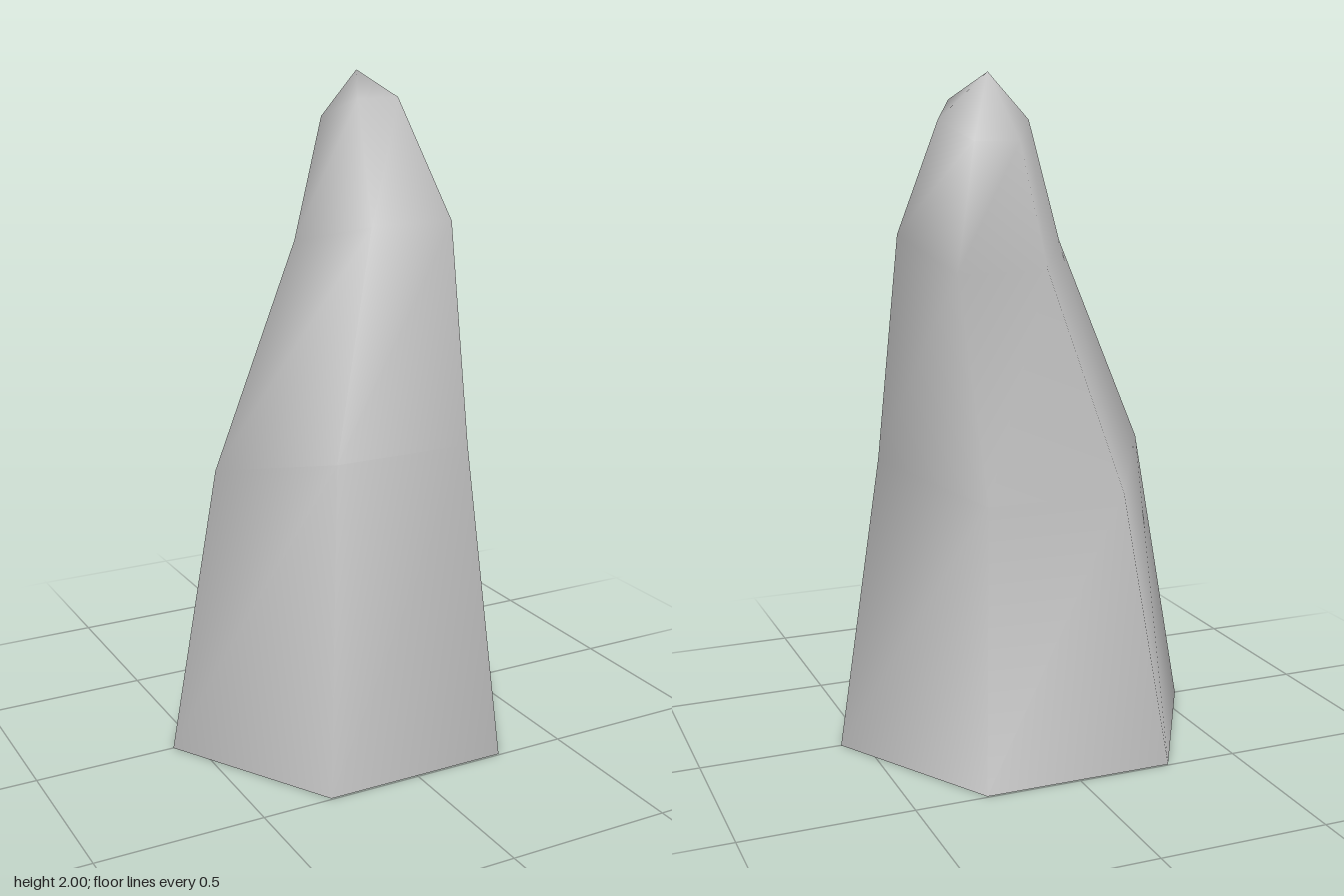
import * as THREE from 'three';

// Bent six-sided horn, open at the base, lofted through tilted hexagonal rings.
export function createModel() {
  const group = new THREE.Group();
  const stone = new THREE.MeshStandardMaterial({ color: 0xc0c0c0, side: THREE.DoubleSide });
  stone.name = 'grey stone';

  // Each ring: centre x, y, z, radius, half depth in z, rise at the front
  const rings = [
    [0, 0, 0, 0.571, 0.495, 0],
    [0, 0.875, 0.035, 0.427, 0.36, 0.085],
    [0.16, 1.515, -0.075, 0.27, 0.23, 0.06],
    [0.16, 1.868, -0.158, 0.137, 0.104, 0.056],
  ];
  const sides = 6;
  const points = [];
  for (const [x, y, z, radius, depth, rise] of rings) {
    for (let i = 0; i < sides; i++) {
      const a = (i * Math.PI) / 3;
      const s = Math.sin(a) / Math.sin(Math.PI / 3);
      points.push(x + radius * Math.cos(a), y + rise * s, z + depth * s);
    }
  }
  // Knuckle: one corner of the third ring is pulled up and back
  points.splice(2 * sides * 3, 3, 0.43, 1.558, -0.19);
  // Tip
  points.push(0.16, 2, -0.19);

  const index = [];
  const tip = rings.length * sides;
  for (let r = 0; r < rings.length; r++) {
    for (let i = 0; i < sides; i++) {
      const j = (i + 1) % sides;
      const a = r * sides + i, b = r * sides + j;
      if (r === rings.length - 1) index.push(a, tip, b);
      else index.push(a, a + sides, b, b, a + sides, b + sides);
    }
  }

  const geometry = new THREE.BufferGeometry();
  geometry.setAttribute('position', new THREE.Float32BufferAttribute(points, 3));
  geometry.setIndex(index);
  geometry.computeVertexNormals();

  const spike = new THREE.Mesh(geometry, stone);
  spike.name = 'spike';
  group.add(spike);
  return group;
}
